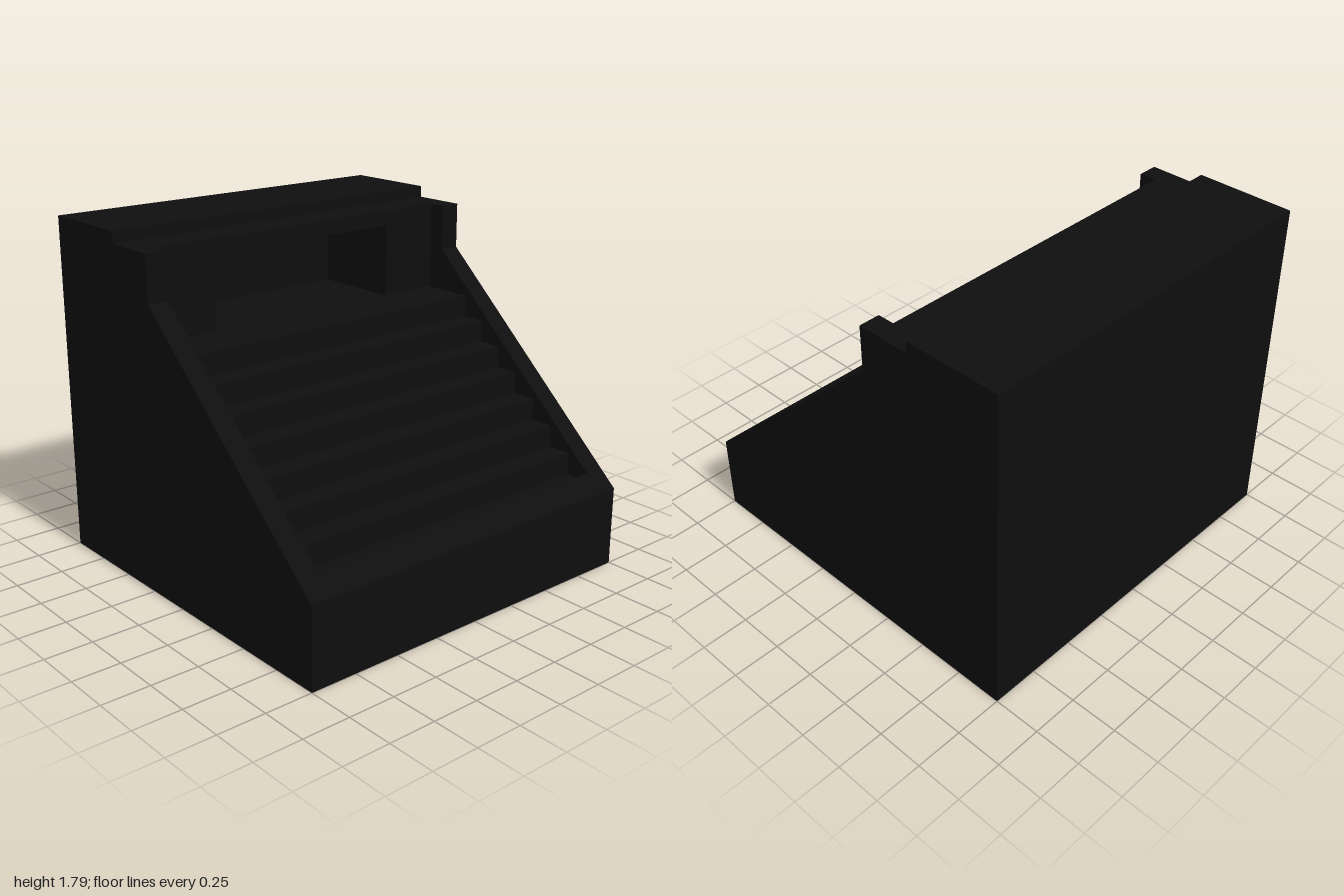
import * as THREE from 'three';

export function createModel() {
  const group = new THREE.Group();
  const stone = new THREE.MeshStandardMaterial({ color: 0x0e0e0e });
  stone.name = 'black stone';

  const add = (name, geometry) => {
    const mesh = new THREE.Mesh(geometry, stone);
    mesh.name = name;
    group.add(mesh);
  };
  const shapeOf = (points) => new THREE.Shape(points.map(([a, b]) => new THREE.Vector2(a, b)));

  // Extrudes a [z, y] side profile across x, from x0 to x1
  const acrossX = (points, x0, x1) => {
    const g = new THREE.ExtrudeGeometry(shapeOf(points), { depth: x1 - x0, bevelEnabled: false });
    return g.rotateY(-Math.PI / 2).translate(x1, 0, 0);
  };

  const inner = 0.89;        // half width between the side walls
  const wallZ = -0.28;       // front of the doorway wall
  const roomZ = -0.77;       // back of the doorway recess
  const landingY = 1.265;

  // Side walls with sloping parapet and raised end pillar
  const side = [[1, 0], [1, 0.42], [-0.19, 1.49], [-0.19, 1.73],
    [-0.48, 1.73], [-0.48, 1.79], [-1, 1.79], [-1, 0]];
  add('leftWall', acrossX(side, inner, 1));
  add('rightWall', acrossX(side, -1, -inner));

  // Sloped rim at the foot of the stairs
  add('frontRim', acrossX([[1, 0], [1, 0.42], [0.91, 0.5], [0.91, 0]], -inner, inner));

  // Stairs and landing, as one stepped profile
  const rise = 0.115, run = 0.13, steps = 7;
  const stairs = [[roomZ, 0], [roomZ, landingY], [0, landingY]];
  for (let i = 1; i <= steps; i++) {
    const y = landingY - i * rise;
    stairs.push([(i - 1) * run, y], [i * run, y]);
  }
  stairs.push([steps * run, 0]);
  add('stairs', acrossX(stairs, -inner, inner));

  // Doorway wall: a U-shaped surround standing on the landing
  const portal = shapeOf([[-inner, landingY], [-0.56, landingY], [-0.56, 1.65], [0.56, 1.65],
    [0.56, landingY], [inner, landingY], [inner, 1.73], [-inner, 1.73]]);
  add('doorway', new THREE.ExtrudeGeometry(portal, { depth: wallZ - roomZ, bevelEnabled: false })
    .translate(0, 0, roomZ));

  // Back mass with the raised roof slab
  add('backBlock', acrossX([[-1, 0], [-1, 1.79], [-0.48, 1.79], [-0.48, 1.73],
    [roomZ, 1.73], [roomZ, 0]], -inner, inner));

  return group;
}
